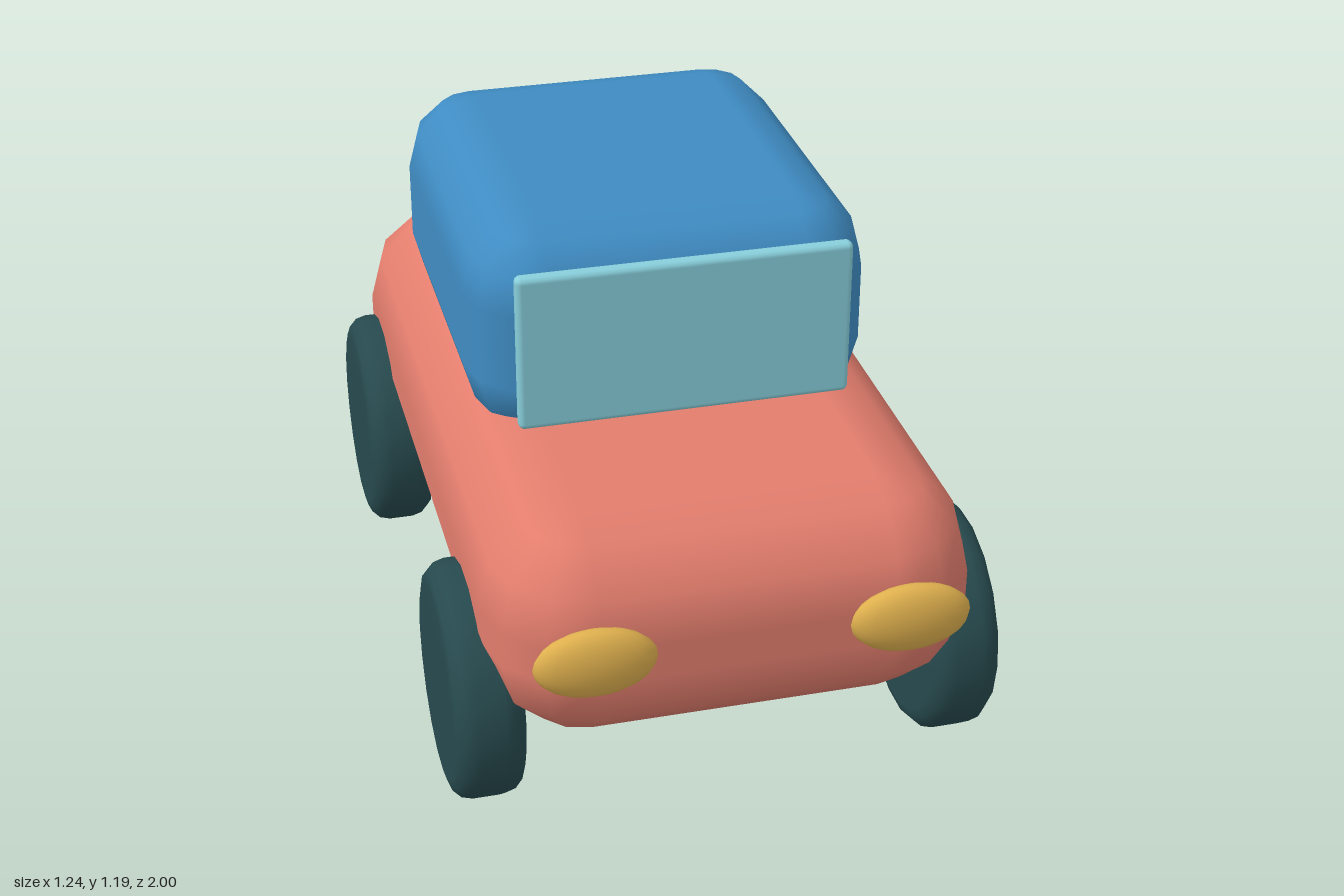
import * as THREE from 'three';

const paint = (name, color) => {
  const m = new THREE.MeshStandardMaterial({ color });
  m.name = name;
  return m;
};

// Box with bevelled edges and corners: a low-poly sphere pulled apart along each axis.
function roundedBox(w, h, d, r, steps = 3) {
  const pos = [], nor = [], idx = [];
  const [ox, oy, oz] = [w / 2 - r, h / 2 - r, d / 2 - r];
  const corners = [[1, 1], [-1, 1], [-1, -1], [1, -1]];
  const n = 4 * (steps + 1), rows = 2 * (steps + 1);
  for (let j = 0; j < rows; j++) {
    const top = j > steps;
    const lat = (top ? j - steps - 1 : j - steps) / steps * Math.PI / 2;
    for (let c = 0; c < 4; c++) {
      for (let k = 0; k <= steps; k++) {
        const a = (c + k / steps) * Math.PI / 2;
        const x = Math.cos(lat) * Math.cos(a), y = Math.sin(lat), z = Math.cos(lat) * Math.sin(a);
        nor.push(x, y, z);
        pos.push(x * r + corners[c][0] * ox, y * r + (top ? oy : -oy), z * r + corners[c][1] * oz);
      }
    }
  }
  for (let j = 0; j < rows - 1; j++) {
    for (let i = 0; i < n; i++) {
      const a = j * n + i, b = j * n + (i + 1) % n;
      idx.push(a, a + n, b, b, a + n, b + n);
    }
  }
  // flat bottom and top
  pos.push(0, -h / 2, 0, 0, h / 2, 0);
  nor.push(0, -1, 0, 0, 1, 0);
  const last = (rows - 1) * n;
  for (let i = 0; i < n; i++) {
    const k = (i + 1) % n;
    idx.push(rows * n, i, k, rows * n + 1, last + k, last + i);
  }
  const g = new THREE.BufferGeometry();
  g.setAttribute('position', new THREE.Float32BufferAttribute(pos, 3));
  g.setAttribute('normal', new THREE.Float32BufferAttribute(nor, 3));
  g.setIndex(idx);
  return g;
}

// Disc with rounded shoulders, axle along x
function wheelGeometry(r, width, bevel, sides) {
  const pts = [new THREE.Vector2(0, -width / 2)];
  for (const s of [-1, 1]) {
    for (let k = 0; k <= 3; k++) {
      const a = (s < 0 ? 3 - k : k) * Math.PI / 6;
      pts.push(new THREE.Vector2(r - bevel + bevel * Math.cos(a), s * (width / 2 - bevel + bevel * Math.sin(a))));
    }
  }
  pts.push(new THREE.Vector2(0, width / 2));
  return new THREE.LatheGeometry(pts, sides).rotateZ(Math.PI / 2);
}

export function createModel() {
  const car = new THREE.Group();
  car.name = 'toyCar';
  const coral = paint('coral paint', 0xe27d6d);
  const blue = paint('blue paint', 0x3f8cc3);
  const glass = paint('pale glass', 0x88cfdb);
  const rubber = paint('dark rubber', 0x274a4e);
  const amber = paint('amber lamp', 0xdfb04e);

  const add = (name, geometry, material, x, y, z) => {
    const m = new THREE.Mesh(geometry, material);
    m.name = name;
    m.position.set(x, y, z);
    car.add(m);
    return m;
  };

  add('body', roundedBox(1.09, 0.522, 1.943, 0.222), coral, 0, 0.512, -0.0285);
  add('cabin', roundedBox(0.928, 0.522, 1.047, 0.17), blue, 0, 0.931, -0.177);
  add('windshield', roundedBox(0.76, 0.372, 0.036, 0.014), glass, 0, 0.959, 0.37);

  // mirrored wheels and headlights
  const wheel = wheelGeometry(0.27, 0.16, 0.05, 18);
  const lamp = new THREE.SphereGeometry(1, 16, 12).scale(0.133, 0.081, 0.042);
  for (const [side, s] of [['left', 1], ['right', -1]]) {
    add(side + 'FrontWheel', wheel, rubber, s * 0.539, 0.27, 0.572);
    add(side + 'RearWheel', wheel, rubber, s * 0.539, 0.27, -0.627);
    add(side + 'Headlight', lamp, amber, s * 0.342, 0.542, 0.958);
  }
  return car;
}
